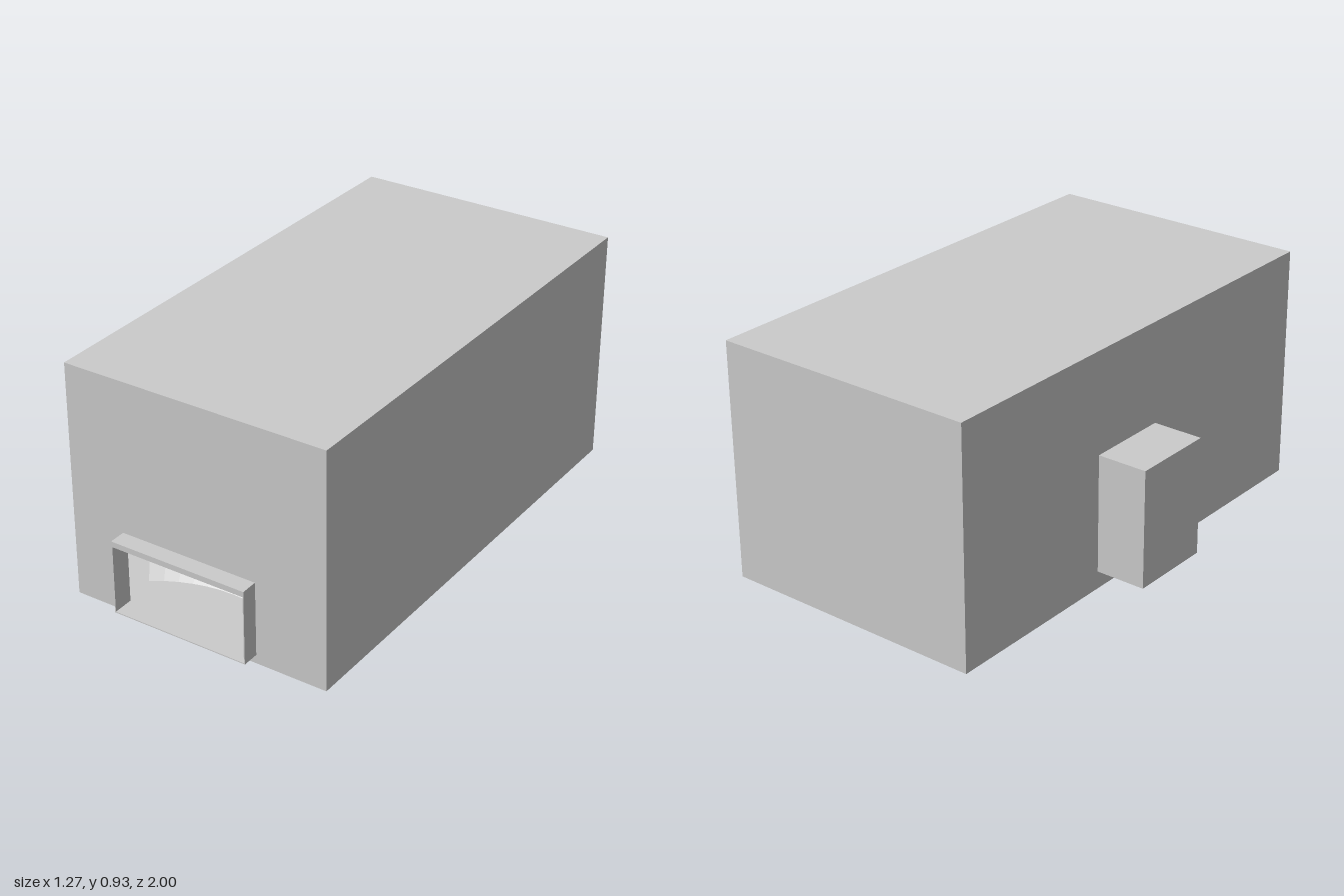
import * as THREE from 'three';

export function createModel() {
  const group = new THREE.Group();
  const grey = new THREE.MeshStandardMaterial({ color: 0xcccccc, flatShading: true, side: THREE.DoubleSide });

  const add = (name, geometry) => {
    const mesh = new THREE.Mesh(geometry, grey);
    mesh.name = name;
    group.add(mesh);
    return mesh;
  };
  // Box given by its limits on each axis
  const block = (name, [x0, x1], [y0, y1], [z0, z1]) =>
    add(name, new THREE.BoxGeometry(x1 - x0, y1 - y0, z1 - z0))
      .position.set((x0 + x1) / 2, (y0 + y1) / 2, (z0 + z1) / 2);
  const rect = (Type, x0, x1, y0, y1) => new Type([
    new THREE.Vector2(x0, y0), new THREE.Vector2(x1, y0),
    new THREE.Vector2(x1, y1), new THREE.Vector2(x0, y1),
  ]);

  const L = -0.434, R = 0.632, top = 0.934, back = -1, front = 0.933;
  const t = 0.02, floorY = 0.035;
  const mouth = { x0: -0.215, x1: 0.345, y0: floorY, y1: 0.33 };

  // Hollow cabinet
  block('floor', [L, R], [0, floorY - 0.002], [back, front - t]);
  block('roof', [L, R], [top - t, top], [back, front - t]);
  block('backWall', [L, R], [floorY - 0.002, top - t], [back, back + t]);
  block('rightWall', [L, L + t], [floorY - 0.002, top - t], [back + t, front - t]);
  block('leftWall', [R - t, R], [floorY - 0.002, top - t], [back + t, front - t]);

  // Front wall with the opening cut out
  const wall = rect(THREE.Shape, L, R, 0, top);
  wall.holes.push(rect(THREE.Path, mouth.x0, mouth.x1, mouth.y0, mouth.y1));
  add('frontWall', new THREE.ExtrudeGeometry(wall, { depth: t, bevelEnabled: false }))
    .position.z = front - t;

  // Thin collar projecting around the opening
  const collar = rect(THREE.Shape, mouth.x0, mouth.x1, mouth.y0, mouth.y1);
  collar.holes.push(rect(THREE.Path, mouth.x0 + 0.004, mouth.x1 - 0.004, mouth.y0 + 0.004, mouth.y1 - 0.022));
  add('openingCollar', new THREE.ExtrudeGeometry(collar, { depth: 1 - front, bevelEnabled: false }))
    .position.z = front;

  // Curved ramp rising from the floor behind the opening
  const profile = [new THREE.Vector2(0.52, floorY), new THREE.Vector2(0.68, 0.15), new THREE.Vector2(0.85, 0.36)];
  add('innerRamp', new THREE.LatheGeometry(profile, 12, Math.PI - 0.62, 1.24))
    .position.set(0.065, 0, 1.2);

  // Box on the side
  block('sideBox', [-0.634, L], [0.07, 0.535], [-0.27, 0.065]);

  return group;
}
